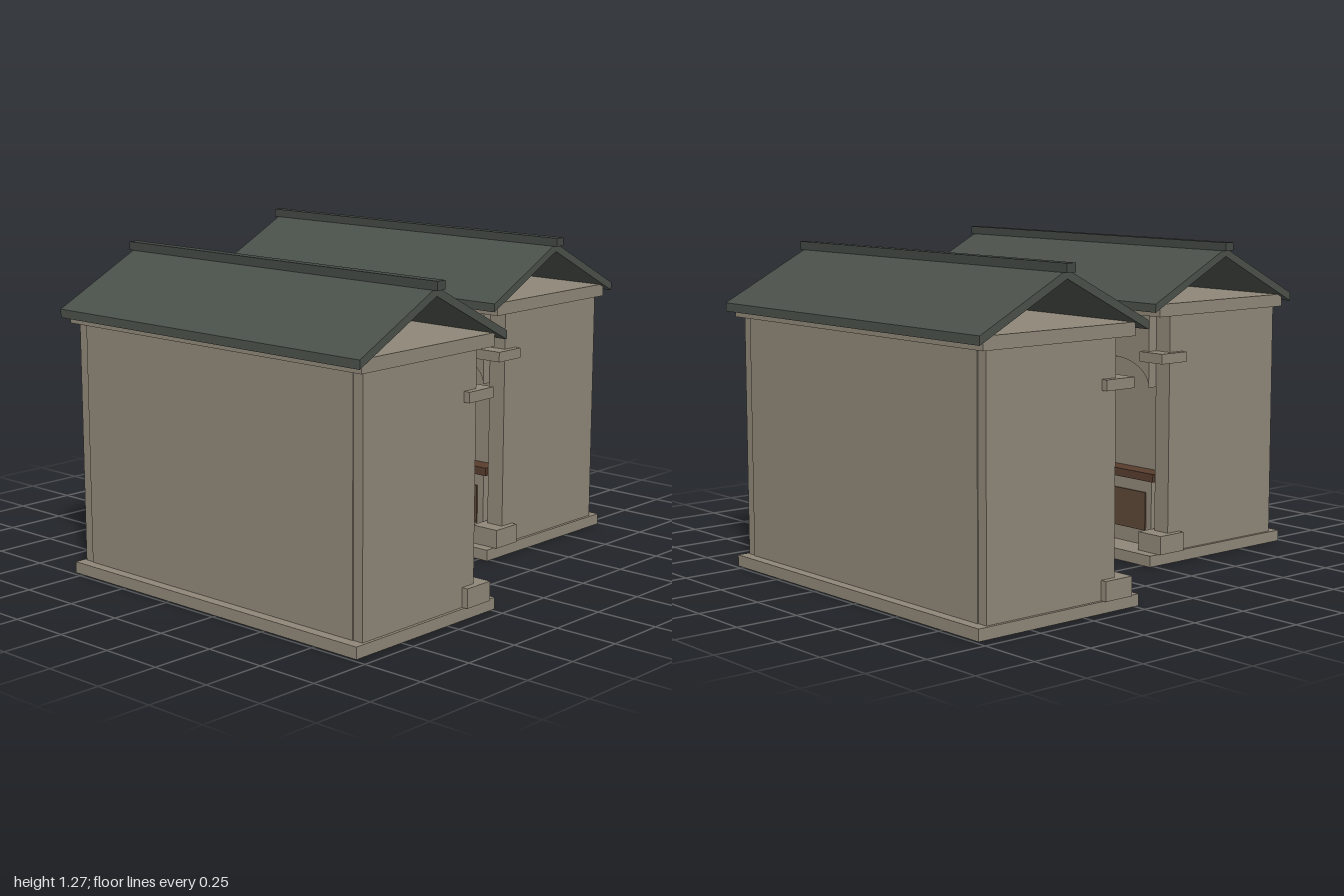
import * as THREE from 'three';

const mat = (name, color) => {
  const m = new THREE.MeshStandardMaterial({ color });
  m.name = name;
  return m;
};

export function createModel() {
  const stone = mat('stone', 0x8f8778);
  const slate = mat('slate', 0x4a504a);
  const ridgeSlate = mat('ridge slate', 0x434945);
  const panelWood = mat('panel wood', 0x5c4636);
  const shelfWood = mat('shelf wood', 0x573c2d);

  // Box given by its min and max on each axis
  const box = (parent, name, material, [x0, x1], [y0, y1], [z0, z1]) => {
    const mesh = new THREE.Mesh(new THREE.BoxGeometry(x1 - x0, y1 - y0, z1 - z0), material);
    mesh.position.set((x0 + x1) / 2, (y0 + y1) / 2, (z0 + z1) / 2);
    mesh.name = name;
    parent.add(mesh);
    return mesh;
  };
  const extrude = (shape, depth) =>
    new THREE.ExtrudeGeometry(shape, { depth, bevelEnabled: false, curveSegments: 16 });

  // One arcade building: arches face +z, local origin at its centre
  const buildHall = (name) => {
    const g = new THREE.Group();
    g.name = name;
    const half = 0.7325, pillarW = 0.075, count = 4;
    const frontZ = 0.27, nicheZ = 0.19;

    // Plinth, walls and cornice
    box(g, 'plinth', stone, [-0.745, 0.745], [0, 0.045], [-0.375, 0.38]);
    box(g, 'backWall', stone, [-0.69, 0.69], [0.045, 0.99], [-0.334, -0.26]);
    box(g, 'nicheWall', stone, [-0.69, 0.69], [0.045, 0.99], [nicheZ - 0.05, nicheZ]);
    for (const s of [-1, 1]) {
      const xs = [s * half, s * 0.68].sort((a, b) => a - b);
      box(g, 'sideWall', stone, xs, [0.045, 0.99], [-0.33, frontZ - 0.03]);
    }
    box(g, 'cornice', stone, [-0.7525, 0.7525], [0.99, 1.04], [-0.36, 0.346]);

    // Pillars with foot and capital blocks
    const pitch = (2 * half - pillarW) / (count - 1);
    const pillarX = (i) => -half + pillarW / 2 + i * pitch;
    for (let i = 0; i < count; i++) {
      const x = pillarX(i);
      box(g, 'pillar', stone, [x - pillarW / 2, x + pillarW / 2], [0.045, 0.99], [nicheZ - 0.01, frontZ]);
      box(g, 'pillarFoot', stone, [x - 0.0625, x + 0.0625], [0.045, 0.12], [0.205, 0.335]);
      box(g, 'pillarCapital', stone, [x - 0.0625, x + 0.0625], [0.805, 0.845], [0.202, 0.337]);
    }

    // Bays: arch, counter, panel and shelf
    const r = (pitch - pillarW) / 2;
    for (let i = 0; i < count - 1; i++) {
      const x = (pillarX(i) + pillarX(i + 1)) / 2;
      const shape = new THREE.Shape();
      shape.moveTo(-r, 0.99);
      shape.lineTo(-r, 0.7);
      shape.absellipse(0, 0.7, r, 0.11, Math.PI, 0, true);
      shape.lineTo(r, 0.99);
      shape.closePath();
      const arch = new THREE.Mesh(extrude(shape, 0.31 - nicheZ), stone);
      arch.name = 'arch';
      arch.position.set(x, 0, nicheZ);
      g.add(arch);
      box(g, 'counter', stone, [x - 0.155, x + 0.155], [0.045, 0.312], [nicheZ, 0.25]);
      box(g, 'counterPanel', panelWood, [x - 0.125, x + 0.125], [0.105, 0.262], [0.248, 0.256]);
      box(g, 'counterShelf', shelfWood, [x - 0.18, x + 0.18], [0.312, 0.345], [nicheZ, 0.268]);
    }

    // Open gabled roof, a thin chevron swept along x
    const profile = new THREE.Shape([
      [-0.39, 1.012], [0, 1.212], [0.39, 1.012], [0.39, 1.045], [0, 1.245], [-0.39, 1.045],
    ].map(([a, b]) => new THREE.Vector2(a, b)));
    const roof = new THREE.Mesh(extrude(profile, 1.545), slate);
    roof.name = 'roof';
    roof.rotation.y = Math.PI / 2;
    roof.position.x = -0.7725;
    g.add(roof);
    box(g, 'ridge', ridgeSlate, [-0.7925, 0.7925], [1.235, 1.268], [-0.021, 0.021]);
    return g;
  };

  // Two halls facing each other, offset sideways
  const model = new THREE.Group();
  model.name = 'facingHalls';
  const back = buildHall('backHall');
  back.position.set(-0.2025, 0, -0.61);
  const front = buildHall('frontHall');
  front.position.set(0.2025, 0, 0.61);
  front.rotation.y = Math.PI;
  model.add(back, front);
  return model;
}
